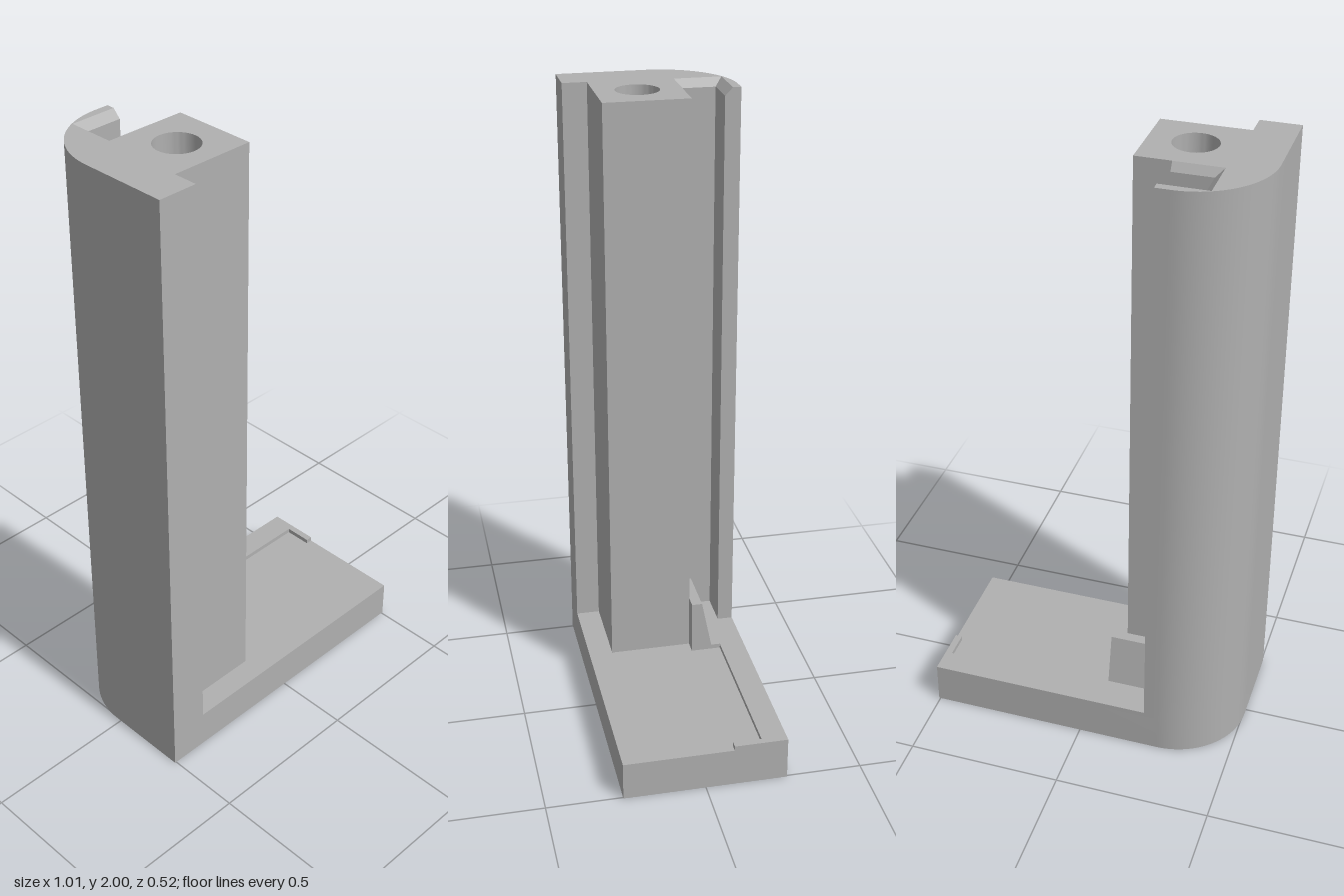
import * as THREE from 'three';
import { mergeGeometries, toCreasedNormals } from 'three/addons/utils/BufferGeometryUtils.js';

// Plan points are [x, -z]; heights run along y.
const BASE_H = 0.125, RIM_H = 0.14, TOP = 2, CHAMFER_Y = 1.975;

// Rounded back corner, from the back edge round to the side
const corner = [];
for (let i = 0; i <= 24; i++) {
  const a = Math.PI / 2 + (i / 24) * (Math.PI / 2);
  corner.push([-0.265 + 0.24 * Math.cos(a), 0.02 + 0.24 * Math.sin(a)]);
}

const toShape = (pts) => new THREE.Shape(pts.map(([x, y]) => new THREE.Vector2(x, y)));

// Upright slab with the given plan, from y0 to y1
function slab(pts, y0, y1) {
  const g = new THREE.ExtrudeGeometry(toShape(pts), { depth: y1 - y0, bevelEnabled: false });
  g.rotateX(-Math.PI / 2).translate(0, y0, 0);
  return toCreasedNormals(g, 0.5);
}

// Walls joining two matching plan loops
function walls(low, y0, high, y1) {
  const pos = [];
  low.forEach((a, i) => {
    const j = (i + 1) % low.length;
    const A = [a[0], y0, -a[1]], B = [low[j][0], y0, -low[j][1]];
    const C = [high[j][0], y1, -high[j][1]], D = [high[i][0], y1, -high[i][1]];
    pos.push(...A, ...B, ...C, ...A, ...C, ...D);
  });
  const g = new THREE.BufferGeometry();
  g.setAttribute('position', new THREE.Float32BufferAttribute(pos, 3));
  return g;
}

// Column with a side channel that flares at the top, and a round bore
function columnGeometry() {
  const front = [[-0.505, -0.26], [-0.38, -0.26], [-0.38, -0.183], [-0.11, -0.183], [-0.11, 0.083], [-0.22, 0.083]];
  const channel = [[-0.22, 0.1], [-0.343, 0.1], [-0.343, 0.21], [-0.22, 0.21]];
  const flare = [[-0.22, 0.084], [-0.368, 0.084], [-0.368, 0.234], [-0.22, 0.234]];
  const back = [[-0.22, 0.26], ...corner];
  const low = [...front, ...channel, ...back];
  const high = [...front, ...flare, ...back];

  const bore = [];
  for (let i = 0; i < 48; i++) {
    const a = (-i / 48) * Math.PI * 2;
    bore.push([-0.25 + 0.068 * Math.cos(a), -0.052 + 0.068 * Math.sin(a)]);
  }
  const capShape = toShape(high);
  capShape.holes.push(new THREE.Path(bore.map(([x, y]) => new THREE.Vector2(x, y))));
  const cap = new THREE.ShapeGeometry(capShape).rotateX(-Math.PI / 2).translate(0, TOP, 0).toNonIndexed();
  cap.deleteAttribute('uv');
  cap.deleteAttribute('normal');

  const merged = mergeGeometries([
    walls(low, BASE_H, low, CHAMFER_Y),
    walls(low, CHAMFER_Y, high, TOP),
    walls(bore, BASE_H, bore, TOP),
    cap,
  ]);
  return toCreasedNormals(merged, 0.5);
}

export function createModel() {
  const group = new THREE.Group();
  const grey = new THREE.MeshStandardMaterial({ color: 0xb0b0b0 });
  grey.name = 'plain grey';
  const add = (name, geometry) => {
    const mesh = new THREE.Mesh(geometry, grey);
    mesh.name = name;
    group.add(mesh);
  };

  // Foot plate with one rounded corner
  add('basePlate', slab([[-0.505, -0.26], [0.505, -0.26], [0.505, 0.26], ...corner], 0, BASE_H));

  // Low raised rim along the back and round the far end
  add('baseRim', slab([
    [0.505, 0.26], [-0.22, 0.26], [-0.22, 0.22], [-0.36, 0.22], [-0.36, 0.083],
    [-0.065, 0.083], [-0.065, 0.18], [0.483, 0.18], [0.483, 0.09], [0.505, 0.09],
  ], BASE_H, RIM_H));

  add('column', columnGeometry());

  // Wedge-shaped stop: profile in [z, y], extruded along x
  const wedge = new THREE.ExtrudeGeometry(
    toShape([[0.083, RIM_H], [0.15, RIM_H], [0.117, 0.305], [0.083, 0.305]]),
    { depth: 0.17, bevelEnabled: false },
  );
  wedge.rotateY(Math.PI / 2).translate(-0.235, 0, 0);
  add('wedgeStop', wedge);

  return group;
}
